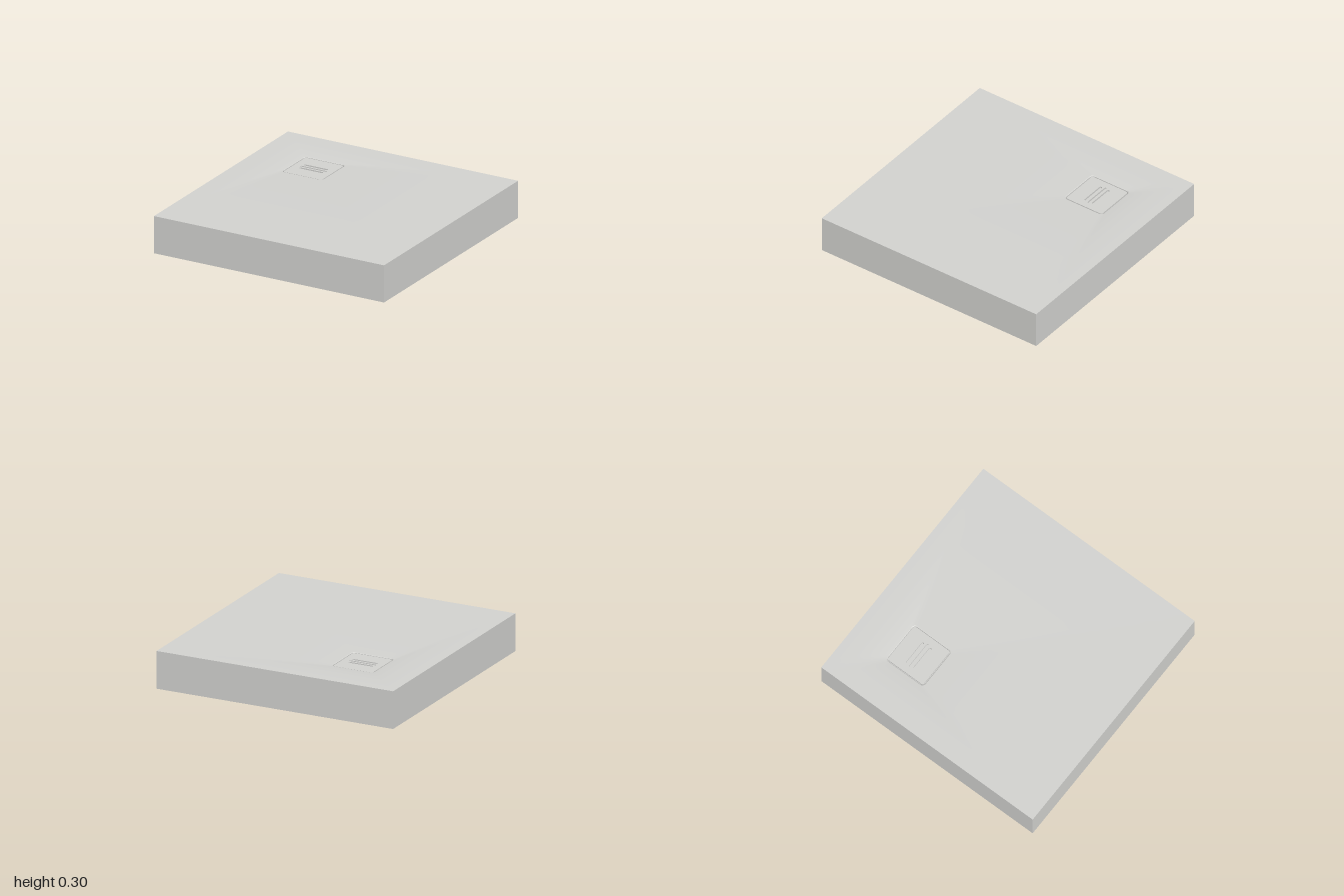
import * as THREE from 'three';
import { toCreasedNormals } from 'three/addons/utils/BufferGeometryUtils.js';

const SEG = 16;                          // samples per side of every loop
const DRAIN = { x: -0.475, z: -0.48 };

const material = (name, color) => {
  const m = new THREE.MeshStandardMaterial({ color });
  m.name = name;
  return m;
};

// Closed loop of directions around a unit square, from +x towards +z
const dirs = [];
for (let side = 0; side < 4; side++) {
  for (let i = 0; i < SEG; i++) {
    const t = -1 + (2 * i) / SEG;
    dirs.push([[1, t], [-t, 1], [-1, -t], [t, -1]][side]);
  }
}

// Square loop; radius r rounds its corners
function square(half, y, c = { x: 0, z: 0 }, r = 0) {
  return dirs.map(([u, v]) => {
    let x = u * half, z = v * half;
    if (r > 0) {
      const k = half - r;
      const bx = THREE.MathUtils.clamp(x, -k, k), bz = THREE.MathUtils.clamp(z, -k, k);
      const d = Math.hypot(x - bx, z - bz);
      if (d > r) {
        x = bx + ((x - bx) * r) / d;
        z = bz + ((z - bz) * r) / d;
      }
    }
    return [c.x + x, y, c.z + z];
  });
}

function circle(radius, y, c) {
  return dirs.map(([u, v]) => {
    const l = Math.hypot(u, v);
    return [c.x + (u / l) * radius, y, c.z + (v / l) * radius];
  });
}

// Skin through successive loops
function skin(name, mat, ...loops) {
  const n = dirs.length, index = [];
  for (let j = 0; j < loops.length - 1; j++) {
    for (let i = 0; i < n; i++) {
      const a = j * n + i, b = j * n + ((i + 1) % n);
      index.push(a, b, a + n, b, b + n, a + n);
    }
  }
  let geo = new THREE.BufferGeometry();
  geo.setAttribute('position', new THREE.Float32BufferAttribute(loops.flat(2), 3));
  geo.setIndex(index);
  geo = toCreasedNormals(geo, 0.5);
  const mesh = new THREE.Mesh(geo, mat);
  mesh.name = name;
  return mesh;
}

// Outline of a rounded rectangle or capsule
function roundedRect(P, cx, cy, w, h, r) {
  const p = new P();
  const x = w / 2 - r, y = h / 2 - r;
  p.absarc(cx + x, cy + y, r, 0, Math.PI / 2);
  p.absarc(cx - x, cy + y, r, Math.PI / 2, Math.PI);
  p.absarc(cx - x, cy - y, r, Math.PI, Math.PI * 1.5);
  p.absarc(cx + x, cy - y, r, Math.PI * 1.5, Math.PI * 2);
  p.closePath();
  return p;
}

export function createModel() {
  const group = new THREE.Group();
  group.name = 'showerTray';
  const grey = material('stoneGrey', 0xd2d2cf);
  const beige = material('beigeCore', 0xd2cab3);
  const white = material('whiteLining', 0xececec);
  const black = material('blackOutlet', 0x222222);

  // Tray surface, dished gently towards the drain
  const recessTop = square(0.18, 0.285, DRAIN, 0.03);
  const edge = square(1, 0.3);
  const dish = [];
  for (let j = 0; j <= 12; j++) {
    const t = (j / 12) ** 1.5;
    const y = 0.3 - 0.015 * (1 - t) ** 3;
    dish.push(recessTop.map((p, i) => [
      THREE.MathUtils.lerp(p[0], edge[i][0], t), y, THREE.MathUtils.lerp(p[2], edge[i][2], t)]));
  }
  group.add(skin('trayTop', grey, ...dish));

  // Square drain recess with a chamfered lip
  const lip = square(0.174, 0.281, DRAIN, 0.024);
  const floor = square(0.174, 0.266, DRAIN, 0.024);
  group.add(skin('drainLip', grey, lip, recessTop));
  group.add(skin('drainRecessWall', grey, floor, lip));
  group.add(skin('drainRecessFloor', grey, circle(0, 0.266, DRAIN), floor));

  // Drain cover with three slots
  const plate = roundedRect(THREE.Shape, 0, 0, 0.334, 0.334, 0.014);
  for (const [y, w, h] of [[0.035, 0.205, 0.02], [0, 0.228, 0.016], [-0.035, 0.205, 0.02]]) {
    plate.holes.push(roundedRect(THREE.Path, 0, y, w, h, h / 2 - 0.001));
  }
  const coverGeo = new THREE.ExtrudeGeometry(plate, { depth: 0.014, bevelEnabled: false, curveSegments: 6 });
  coverGeo.rotateX(-Math.PI / 2);
  const cover = new THREE.Mesh(coverGeo, grey);
  cover.name = 'drainCover';
  cover.position.set(DRAIN.x, 0.267, DRAIN.z);
  group.add(cover);

  // Outer sides and bottom rim
  const inner = 0.955, block = 0.85, grooveY = 0.22;
  group.add(skin('outerSides', grey, edge, square(1, 0)));
  group.add(skin('bottomRim', grey, square(1, 0), square(inner, 0)));

  // Groove under the tray
  group.add(skin('grooveWall', beige, square(inner, 0), square(inner, grooveY)));
  group.add(skin('grooveRoof', beige, square(inner, grooveY), square(block, grooveY)));

  // Support block with the round drain well
  const wellR = 0.37, wellY = 0.15;
  group.add(skin('blockSides', grey, square(block, grooveY), square(block, 0)));
  group.add(skin('blockUnderside', grey, square(block, 0), circle(wellR, 0, DRAIN)));
  group.add(skin('drainWellWall', white, circle(wellR, 0, DRAIN), circle(wellR, wellY, DRAIN)));
  group.add(skin('drainWellCeiling', beige, circle(wellR, wellY, DRAIN), circle(0.085, wellY, DRAIN)));
  group.add(skin('drainOutlet', black, circle(0.085, wellY, DRAIN), circle(0, wellY, DRAIN)));

  return group;
}
